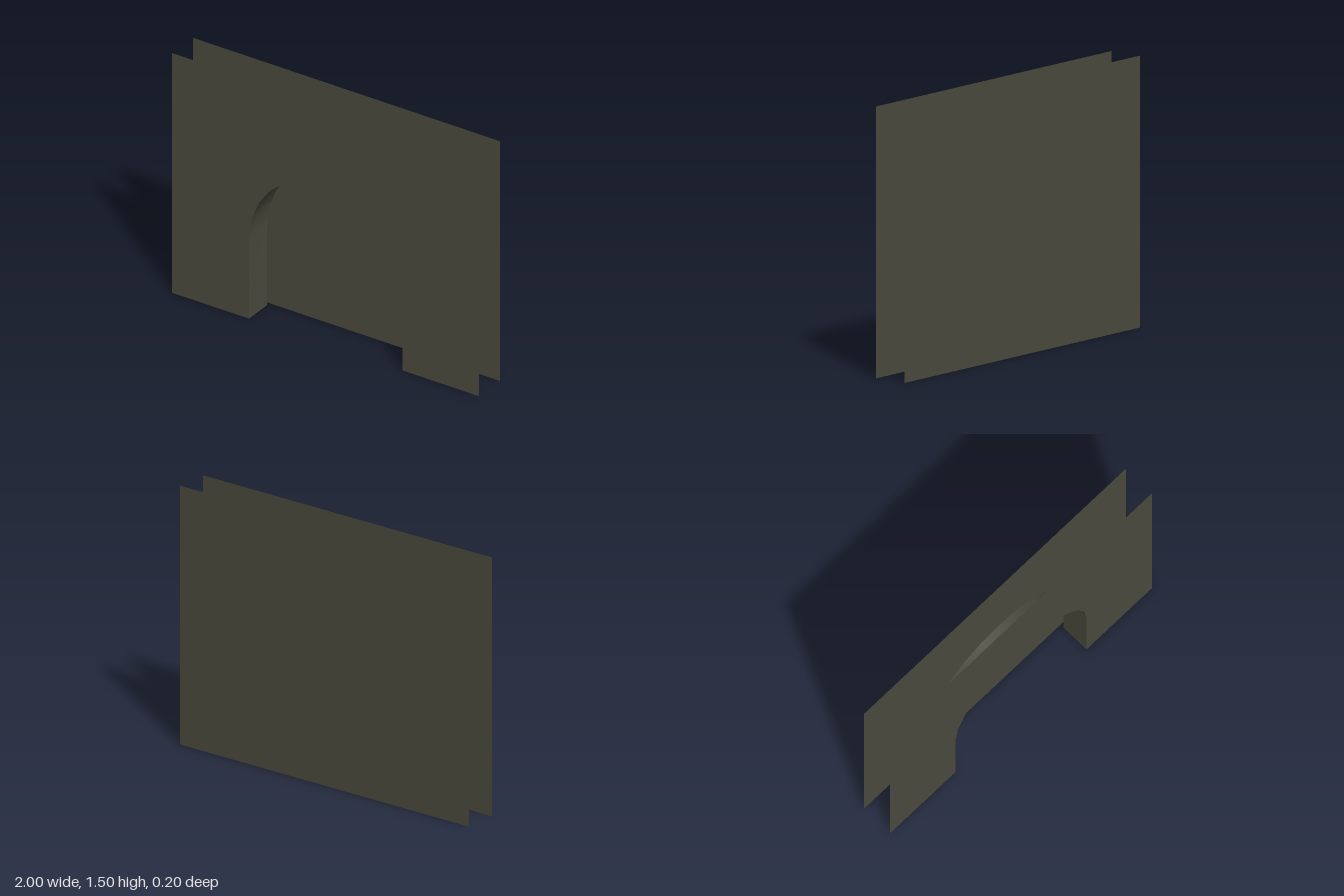
import * as THREE from 'three';

const HEIGHT = 1.5, RADIUS = 0.5, FRONT = 0.1, BACK = -0.1, TUNNEL_BACK = -0.075;
const ARC_STEPS = 12;

// Opening outline from the left foot, over the arch, to the right foot
function archPoints() {
  const points = [new THREE.Vector2(RADIUS, 0)];
  for (let i = 0; i <= ARC_STEPS; i++) {
    const a = (i / ARC_STEPS) * Math.PI;
    points.push(new THREE.Vector2(RADIUS * Math.cos(a), RADIUS + RADIUS * Math.sin(a)));
  }
  points.push(new THREE.Vector2(-RADIUS, 0));
  return points;
}

export function createModel() {
  const group = new THREE.Group();
  group.name = 'archedWall';
  const stone = new THREE.MeshStandardMaterial({ color: 0x4b4b3e, side: THREE.DoubleSide });
  stone.name = 'darkOliveStone';

  const add = (name, geometry) => {
    const mesh = new THREE.Mesh(geometry, stone);
    mesh.name = name;
    group.add(mesh);
    return mesh;
  };
  const arch = archPoints();

  // Front sheet, with the doorway cut up from its lower edge
  const outline = new THREE.Shape([
    new THREE.Vector2(1, 0),
    new THREE.Vector2(1, HEIGHT),
    new THREE.Vector2(-1, HEIGHT),
    new THREE.Vector2(-1, 0),
    ...[...arch].reverse(),
  ]);
  add('frontWall', new THREE.ShapeGeometry(outline)).position.z = FRONT;

  // Plain back sheet, facing backwards
  const back = add('backWall', new THREE.PlaneGeometry(2, HEIGHT));
  back.position.set(0, HEIGHT / 2, BACK);
  back.rotation.y = Math.PI;

  // Doorway lining: a strip bent along the arch, stopping short of the back sheet
  const lining = new THREE.PlaneGeometry(1, 1, arch.length - 1, 1);
  const position = lining.attributes.position;
  for (let i = 0; i < position.count; i++) {
    const p = arch[i % arch.length];
    position.setXYZ(i, p.x, p.y, i < arch.length ? FRONT : TUNNEL_BACK);
  }
  lining.computeVertexNormals();
  add('archLining', lining);

  return group;
}
